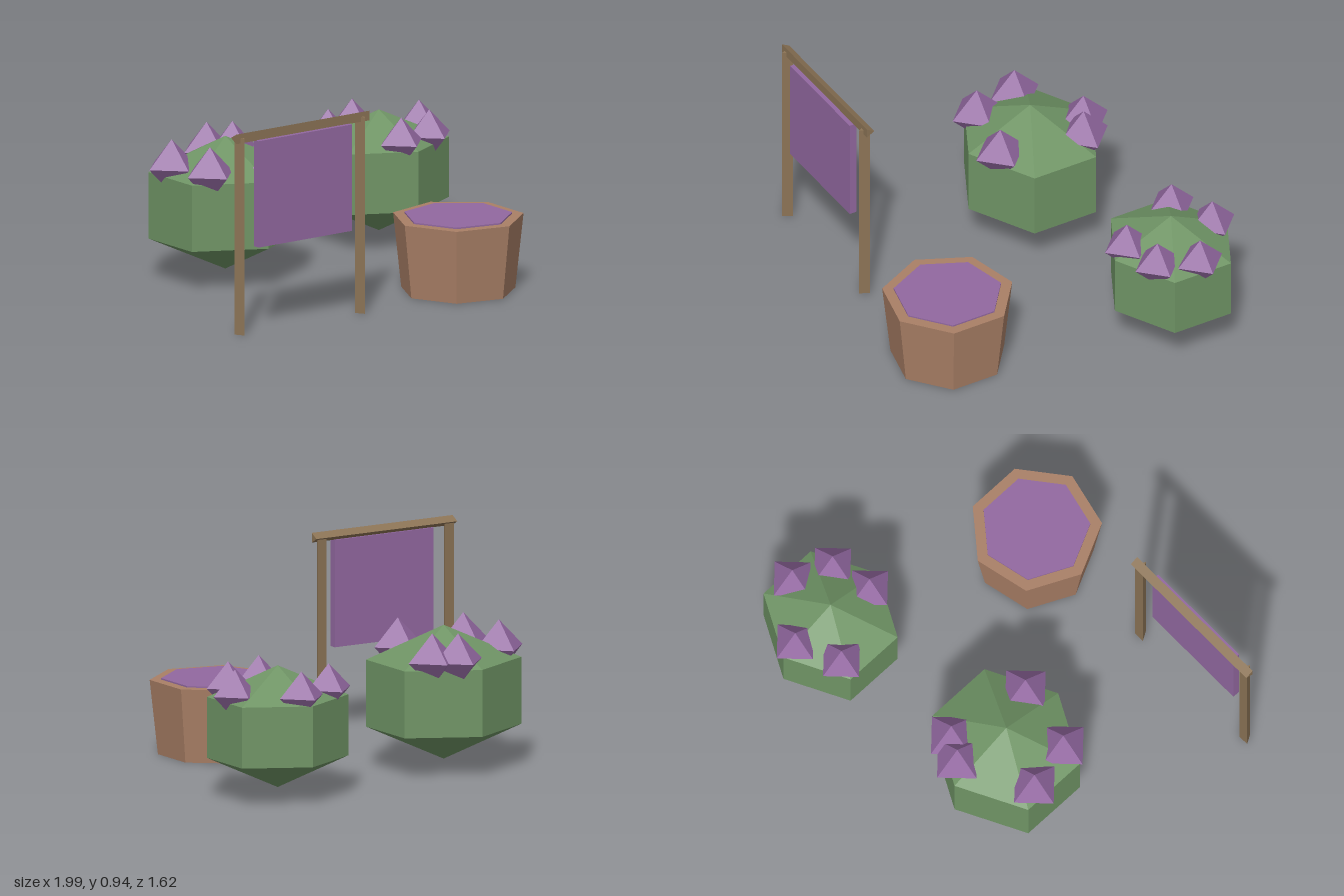
import * as THREE from 'three';

const material = (name, color) => {
  const m = new THREE.MeshStandardMaterial({ color });
  m.name = name;
  return m;
};

// Crisp facets: every triangle gets its own normal
function faceted(geometry) {
  const g = geometry.index ? geometry.toNonIndexed() : geometry;
  g.computeVertexNormals();
  return g;
}

function add(parent, name, geometry, mat, x, y, z) {
  const mesh = new THREE.Mesh(faceted(geometry), mat);
  mesh.name = name;
  mesh.position.set(x, y, z);
  parent.add(mesh);
  return mesh;
}

function addGroup(parent, name) {
  const group = new THREE.Group();
  group.name = name;
  parent.add(group);
  return group;
}

export function createModel() {
  const model = new THREE.Group();
  model.name = 'gardenSet';

  const green = material('leaf green', 0x6f9465);
  const purple = material('purple', 0x9268a0);
  const clay = material('clay', 0xa97f66);
  const wood = material('wood', 0x8b7355);

  // Flowering bushes: six-sided squashed spheres ringed with octahedral blooms
  function bush(name, x, y, z, size, blooms) {
    const group = addGroup(model, name);
    const body = new THREE.SphereGeometry(1, 6, 3);
    body.rotateY(Math.PI / 2).scale(0.42 * size, 0.31 * size, 0.375 * size);
    add(group, 'foliage', body, green, x, y, z);
    for (const [bx, bz] of blooms) {
      add(group, 'bloom', new THREE.OctahedronGeometry(0.127 * size), purple, bx, y + 0.192 * size, bz);
    }
  }
  bush('largeBush', -0.355, 0.35, -0.325, 1, [
    [-0.281, -0.562], [-0.179, -0.503], [-0.61, -0.392], [-0.563, -0.166], [-0.249, -0.105],
  ]);
  bush('smallBush', 0.64, 0.325, -0.48, 0.91, [
    [0.442, -0.6], [0.649, -0.693], [0.879, -0.493], [0.801, -0.314], [0.606, -0.268],
  ]);

  // Seven-sided tapered tub with a purple filling
  const tub = addGroup(model, 'tub');
  const tubShell = new THREE.CylinderGeometry(0.304, 0.266, 0.345, 7).rotateY(-Math.PI / 2);
  add(tub, 'tubShell', tubShell, clay, 0.335, 0.1725, 0.513);
  const filling = new THREE.CylinderGeometry(0.251, 0.251, 0.03, 7).rotateY(-Math.PI / 2);
  add(tub, 'filling', filling, purple, 0.335, 0.337, 0.513);

  // Banner hung from a beam on two three-sided posts
  const stand = addGroup(model, 'bannerStand');
  for (const x of [-0.966, -0.279]) {
    add(stand, 'post', new THREE.CylinderGeometry(0.029, 0.029, 0.918, 3), wood, x, 0.459, 0.593);
  }
  const beam = new THREE.CylinderGeometry(0.026, 0.026, 0.76, 3);
  beam.rotateY(Math.PI).rotateZ(Math.PI / 2);
  add(stand, 'beam', beam, wood, -0.62, 0.918, 0.591);
  add(stand, 'banner', new THREE.BoxGeometry(0.533, 0.497, 0.035), purple, -0.622, 0.6485, 0.608);

  return model;
}
